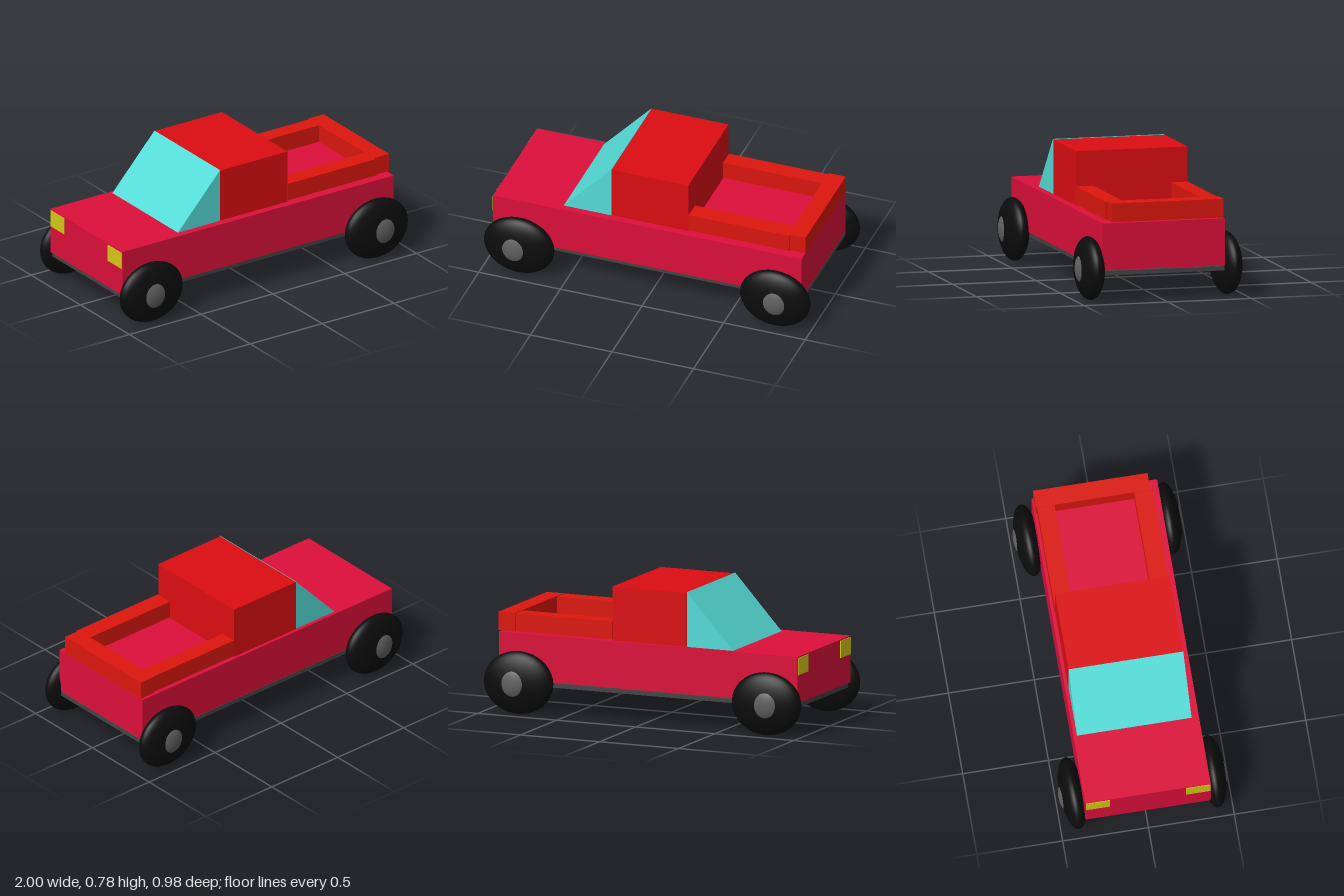
import * as THREE from 'three';

const mat = (color) => new THREE.MeshStandardMaterial({ color });

export function createModel() {
  const truck = new THREE.Group();
  truck.name = 'pickupTruck';
  const crimson = mat(0xdc0f3a), red = mat(0xdc0d12), bedRed = mat(0xdc160e);
  const glass = mat(0x55dcd8), tyre = mat(0x0c0c0c), hubGrey = mat(0x606060);
  const dark = mat(0x444444), yellow = mat(0xd6c818);

  // Box given by its lower and upper corners
  function box(name, material, [x0, y0, z0], [x1, y1, z1]) {
    const mesh = new THREE.Mesh(new THREE.BoxGeometry(x1 - x0, y1 - y0, z1 - z0), material);
    mesh.position.set((x0 + x1) / 2, (y0 + y1) / 2, (z0 + z1) / 2);
    mesh.name = name;
    truck.add(mesh);
  }

  // Body, underside plate and cab (the truck drives towards -x)
  box('chassis', dark, [-0.95, 0.16, -0.36], [0.93, 0.185, 0.357]);
  box('body', crimson, [-0.96, 0.189, -0.362], [0.93, 0.462, 0.37]);
  box('cab', red, [-0.25, 0.462, -0.342], [0.22, 0.778, 0.325]);

  // Cargo bed rails and tailgate
  box('bedRailLeft', bedRed, [0.222, 0.47, 0.22], [0.84, 0.574, 0.327]);
  box('bedRailRight', bedRed, [0.222, 0.47, -0.345], [0.84, 0.574, -0.245]);
  box('tailgate', bedRed, [0.83, 0.469, -0.352], [0.935, 0.577, 0.315]);

  // Headlights
  box('headlightLeft', yellow, [-0.964, 0.355, 0.226], [-0.94, 0.455, 0.366]);
  box('headlightRight', yellow, [-0.964, 0.355, -0.358], [-0.94, 0.455, -0.218]);

  // Wedge windscreen
  const wedge = new THREE.Shape([
    new THREE.Vector2(-0.545, 0.46),
    new THREE.Vector2(-0.25, 0.46),
    new THREE.Vector2(-0.25, 0.782),
  ]);
  const windscreen = new THREE.Mesh(
    new THREE.ExtrudeGeometry(wedge, { depth: 0.668, bevelEnabled: false }), glass);
  windscreen.position.z = -0.341;
  windscreen.name = 'windscreen';
  truck.add(windscreen);

  // Wheels: flattened spheres with a bulging hub
  const sphere = new THREE.SphereGeometry(1, 40, 28);
  for (const x of [-0.786, 0.783]) {
    for (const side of [1, -1]) {
      const wheel = new THREE.Group();
      wheel.name = 'wheel';
      const tyreMesh = new THREE.Mesh(sphere, tyre);
      tyreMesh.name = 'tyre';
      tyreMesh.scale.set(0.214, 0.183, 0.073);
      const hub = new THREE.Mesh(sphere, hubGrey);
      hub.name = 'hub';
      hub.scale.set(0.09, 0.095, 0.045);
      hub.position.set(-0.012 * Math.sign(-x), 0, side * 0.038);
      wheel.add(tyreMesh, hub);
      wheel.position.set(x, 0.184, side * 0.409);
      if (side < 0) wheel.rotation.y = 0.04;
      truck.add(wheel);
    }
  }
  return truck;
}
